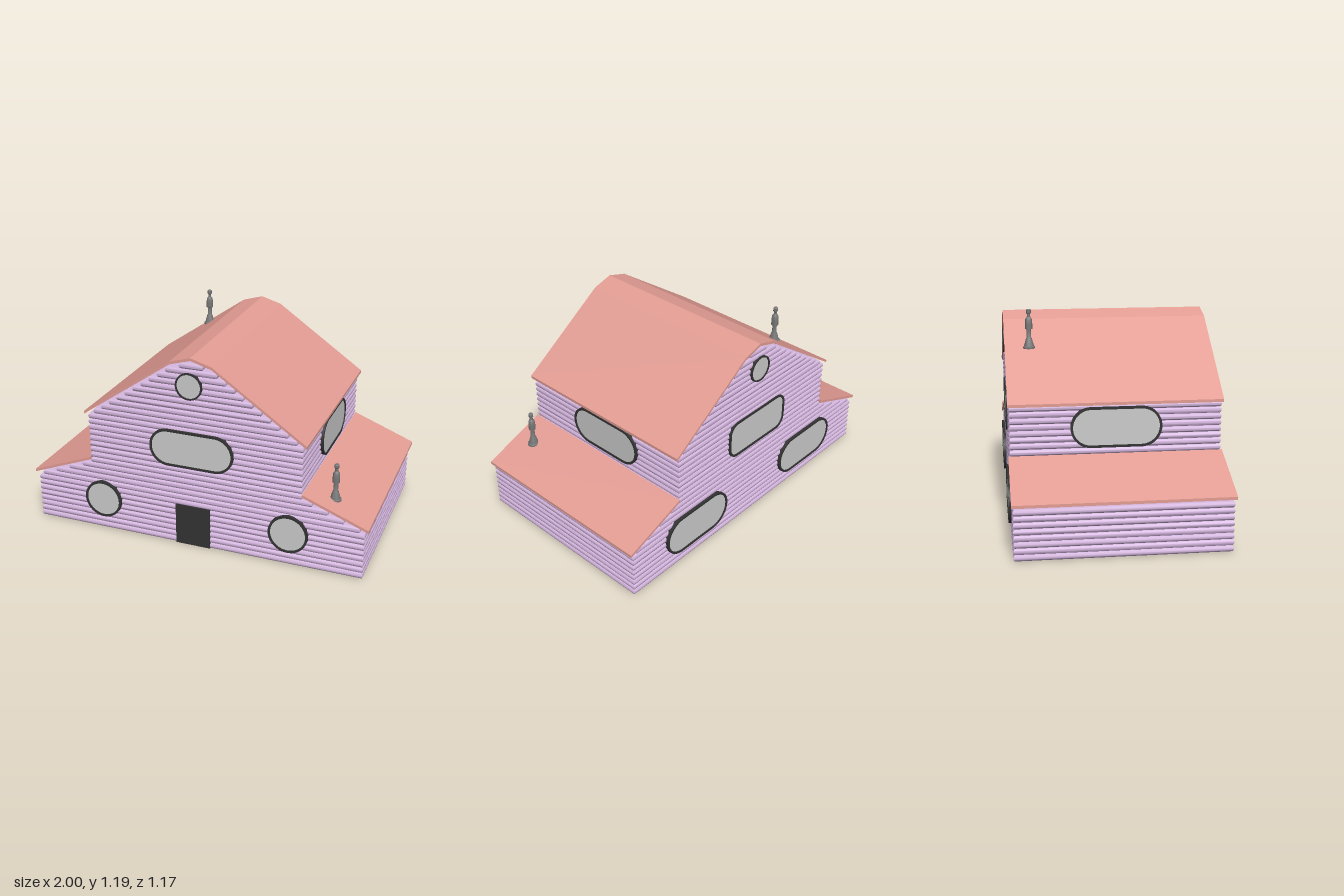
import * as THREE from 'three';
import { toCreasedNormals } from 'three/addons/utils/BufferGeometryUtils.js';

const mat = (color) => new THREE.MeshStandardMaterial({ color });

// Rounded rectangle with half sizes w, h and corner radius r (r = w = h gives a circle)
function roundedRect(w, h, r, Type = THREE.Shape) {
  const s = new Type(), q = Math.PI / 2;
  s.absarc(w - r, h - r, r, 0, q);
  s.absarc(r - w, h - r, r, q, 2 * q);
  s.absarc(r - w, r - h, r, 2 * q, 3 * q);
  s.absarc(w - r, r - h, r, 3 * q, 4 * q);
  s.closePath();
  return s;
}

// Heights along the roof lines, measured on the top surface
const upperRoof = [[0.65, 0.737], [0.12, 1.105], [0, 1.14]];
const lowerRoof = [[1, 0.308], [0.63, 0.452]];
const ROOF_T = 0.016;
const ROOF_Z = 0.577;

// Half width available below a roof line at height y
function widthUnder(line, y) {
  for (let i = 0; i < line.length - 1; i++) {
    const [x0, y0] = line[i], [x1, y1] = line[i + 1];
    const t = (y + ROOF_T - y0) / (y1 - y0);
    if (t <= 1) return x0 + (x1 - x0) * Math.max(t, 0);
  }
  return 0;
}

export function createModel() {
  const house = new THREE.Group();
  house.name = 'house';
  const wallMat = mat(0xd4b6de), roofMat = mat(0xe39d94), frameMat = mat(0x333333);
  const paneMat = mat(0xcccccc), chimneyMat = mat(0x777777);

  const add = (parent, name, geometry, material) => {
    const mesh = new THREE.Mesh(geometry, material);
    mesh.name = name;
    parent.add(mesh);
    return mesh;
  };

  // Log walls: stacked slabs with half-round edges, stepping in under the roofs
  const walls = new THREE.Group();
  walls.name = 'logWalls';
  house.add(walls);
  const pitch = 0.0345, round = 0.013, wallZ = 0.57;
  for (let i = 0; i < 32; i++) {
    const top = (i + 1) * pitch;
    let w = Math.min(0.98, widthUnder(lowerRoof, top));
    if (top > 0.43) w = Math.min(0.63, widthUnder(upperRoof, top));
    const a = w - round, b = wallZ - round;
    const outline = new THREE.Shape([
      new THREE.Vector2(-a, -b), new THREE.Vector2(a, -b),
      new THREE.Vector2(a, b), new THREE.Vector2(-a, b),
    ]);
    const log = new THREE.ExtrudeGeometry(outline, {
      depth: 0.001, bevelEnabled: true, bevelSegments: 5,
      bevelSize: round, bevelThickness: (pitch - 0.001) / 2,
    });
    log.rotateX(-Math.PI / 2).translate(0, i * pitch + (pitch - 0.001) / 2, 0);
    add(walls, 'logCourse', toCreasedNormals(log, 0.7), wallMat);
  }

  // Roof sheets: a profile line given thickness and run from back to front
  const roofSheet = (name, line) => {
    const pts = [...line, ...line.map(([x, y]) => [x, y - ROOF_T]).reverse()];
    const geo = new THREE.ExtrudeGeometry(
      new THREE.Shape(pts.map(([x, y]) => new THREE.Vector2(x, y))),
      { depth: ROOF_Z * 2, bevelEnabled: false });
    add(house, name, geo.translate(0, 0, -ROOF_Z), roofMat);
  };
  const mirrored = (line) => line.map(([x, y]) => [-x, y]).reverse();
  roofSheet('upperRoof', [...upperRoof, ...mirrored(upperRoof).slice(1)]);
  roofSheet('lowerRoofLeft', lowerRoof);
  roofSheet('lowerRoofRight', mirrored(lowerRoof));

  // Windows: dark raised frame around a slightly recessed pane
  const addWindow = (name, [x, y, z], turn, w, h, r, rim = 0.013) => {
    const g = new THREE.Group();
    g.name = name;
    const frame = roundedRect(w, h, r);
    frame.holes.push(roundedRect(w - rim, h - rim, r - rim, THREE.Path));
    const solid = (shape, depth, back) => toCreasedNormals(
      new THREE.ExtrudeGeometry(shape, { depth, bevelEnabled: false, curveSegments: 14 })
        .translate(0, 0, -back), 0.6);
    add(g, 'windowFrame', solid(frame, 0.025, 0.025), frameMat);
    add(g, 'windowPane', solid(roundedRect(w - rim, h - rim, r - rim), 0.015, 0.02), paneMat);
    g.position.set(x, y, z);
    g.rotation.y = turn;
    house.add(g);
  };
  for (const s of [-1, 1]) {
    addWindow('frontRoundWindow', [s * 0.558, 0.195, 0.584], 0, 0.113, 0.113, 0.113);
    addWindow('backLowerWindow', [s * 0.485, 0.2, -0.584], Math.PI, 0.245, 0.12, 0.119);
    addWindow('gableWindow', [-0.013, 0.975, s * 0.579], s > 0 ? 0 : Math.PI, 0.077, 0.077, 0.077, 0.009);
    addWindow('sideWindow', [s * 0.642, 0.598, s > 0 ? -0.02 : 0], s * Math.PI / 2, 0.246, 0.111, 0.11);
  }
  addWindow('frontMiddleWindow', [-0.005, 0.598, 0.582], 0, 0.246, 0.11, 0.109);
  addWindow('backMiddleWindow', [-0.015, 0.595, -0.577], Math.PI, 0.24, 0.115, 0.07);

  // Door
  add(house, 'door', new THREE.BoxGeometry(0.205, 0.248, 0.03), frameMat)
    .position.set(-0.002, 0.126, 0.56);

  // Chimneys: turned profile with flared foot, collar and cap
  const profile = [
    [0, 0], [0.034, 0], [0.034, 0.01], [0.028, 0.013], [0.016, 0.055], [0.013, 0.06],
    [0.012, 0.105], [0.02, 0.108], [0.02, 0.135], [0.018, 0.162], [0.013, 0.17],
    [0.009, 0.175], [0.009, 0.19], [0.013, 0.195], [0.013, 0.212], [0.01, 0.216], [0, 0.216],
  ].map(([r, y]) => new THREE.Vector2(r, y));
  for (const [x, y, z] of [[0.78, 0.384, 0.445], [-0.298, 0.97, -0.442]]) {
    const geo = toCreasedNormals(new THREE.LatheGeometry(profile, 24), 0.6);
    add(house, 'chimney', geo, chimneyMat).position.set(x, y, z);
  }

  return house;
}
